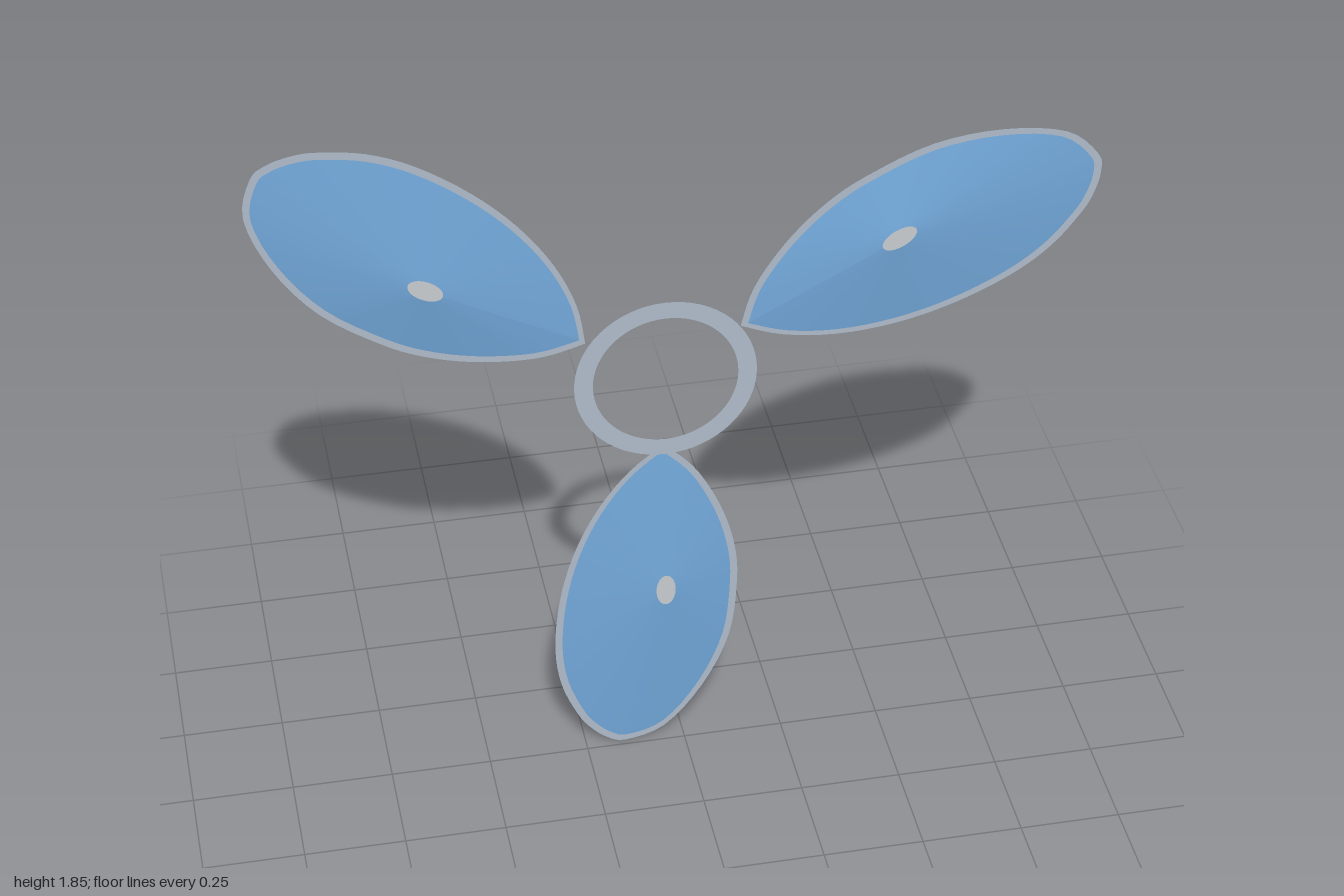
import * as THREE from 'three';

const flat = (name, color) => {
  const m = new THREE.MeshStandardMaterial({ color, side: THREE.DoubleSide });
  m.name = name;
  return m;
};

const BACK_Z = -0.016, APEX_Z = 0.009, RING_Z = 0.015;
const CENTRE = new THREE.Vector2(-0.046, -0.68); // middle of one blade
const HUB = new THREE.Vector2(0, -0.645);        // high point of one blade

// Outline of the downward blade, clockwise from its inner tip, about the ring centre
const outline = new THREE.SplineCurve([
  [0, -0.215], [0.06, -0.275], [0.103, -0.34], [0.148, -0.44], [0.177, -0.55],
  [0.184, -0.66], [0.165, -0.83], [0.098, -0.985], [0, -1.105], [-0.1, -1.138],
  [-0.148, -1.122], [-0.19, -1.083], [-0.222, -1.034], [-0.262, -0.93], [-0.276, -0.81],
  [-0.262, -0.66], [-0.225, -0.52], [-0.164, -0.39], [-0.085, -0.285], [0, -0.215],
].map(([x, y]) => new THREE.Vector2(x, y))).getPoints(76);

// Outline shrunk inward by a distance d
const inset = (d) => outline.map((p) => new THREE.Vector2(
  CENTRE.x + (p.x - CENTRE.x) * (1 - d / 0.23),
  CENTRE.y + (p.y - CENTRE.y) * (1 - d / 0.46),
));

// Surface joining an outer loop to an inner loop, facing forward
function bridge(outer, outerZ, inner, innerZ) {
  const pos = [], index = [];
  outer.forEach((p, i) => {
    const q = inner[i];
    pos.push(p.x, p.y, outerZ, q.x, q.y, innerZ);
    if (i < outer.length - 1) {
      const a = i * 2;
      index.push(a, a + 1, a + 2, a + 1, a + 3, a + 2);
    }
  });
  const g = new THREE.BufferGeometry();
  g.setAttribute('position', new THREE.Float32BufferAttribute(pos, 3));
  g.setIndex(index);
  g.computeVertexNormals();
  return g;
}

export function createModel() {
  const model = new THREE.Group();
  const blue = flat('blade blue', 0x72a8da);
  const metal = flat('metal grey', 0xb0bccb);
  const pale = flat('pale grey', 0xc8ccd0);

  const add = (parent, name, geometry, material) => {
    const mesh = new THREE.Mesh(geometry, material);
    mesh.name = name;
    parent.add(mesh);
    return mesh;
  };

  const rotor = new THREE.Group();
  rotor.name = 'rotor';
  rotor.position.set(-0.048, 1.14, 0);
  model.add(rotor);

  // Central flat ring
  add(rotor, 'centreRing', new THREE.RingGeometry(0.175, 0.22, 64), metal).position.z = RING_Z;

  // Small oval that caps each shallow cone
  const hubLoop = outline.map((p) => {
    const a = Math.atan2((p.y - HUB.y) / 0.46, (p.x - HUB.x) / 0.23);
    return new THREE.Vector2(HUB.x + 0.024 * Math.cos(a), HUB.y + 0.045 * Math.sin(a));
  });
  const rimGeometry = bridge(outline, BACK_Z, inset(0.038), BACK_Z);
  const sailGeometry = bridge(inset(0.018), BACK_Z + 0.001, hubLoop, APEX_Z);
  const capGeometry = new THREE.ShapeGeometry(new THREE.Shape(hubLoop.slice(0, -1)));

  // Three identical blades: flat rim, shallow cone and cap
  for (let i = 0; i < 3; i++) {
    const blade = new THREE.Group();
    blade.name = `blade${i + 1}`;
    blade.rotation.z = (i * Math.PI * 2) / 3;
    add(blade, 'bladeRim', rimGeometry, metal);
    add(blade, 'bladeSail', sailGeometry, blue);
    add(blade, 'bladeCap', capGeometry, pale).position.z = APEX_Z;
    rotor.add(blade);
  }
  return model;
}
